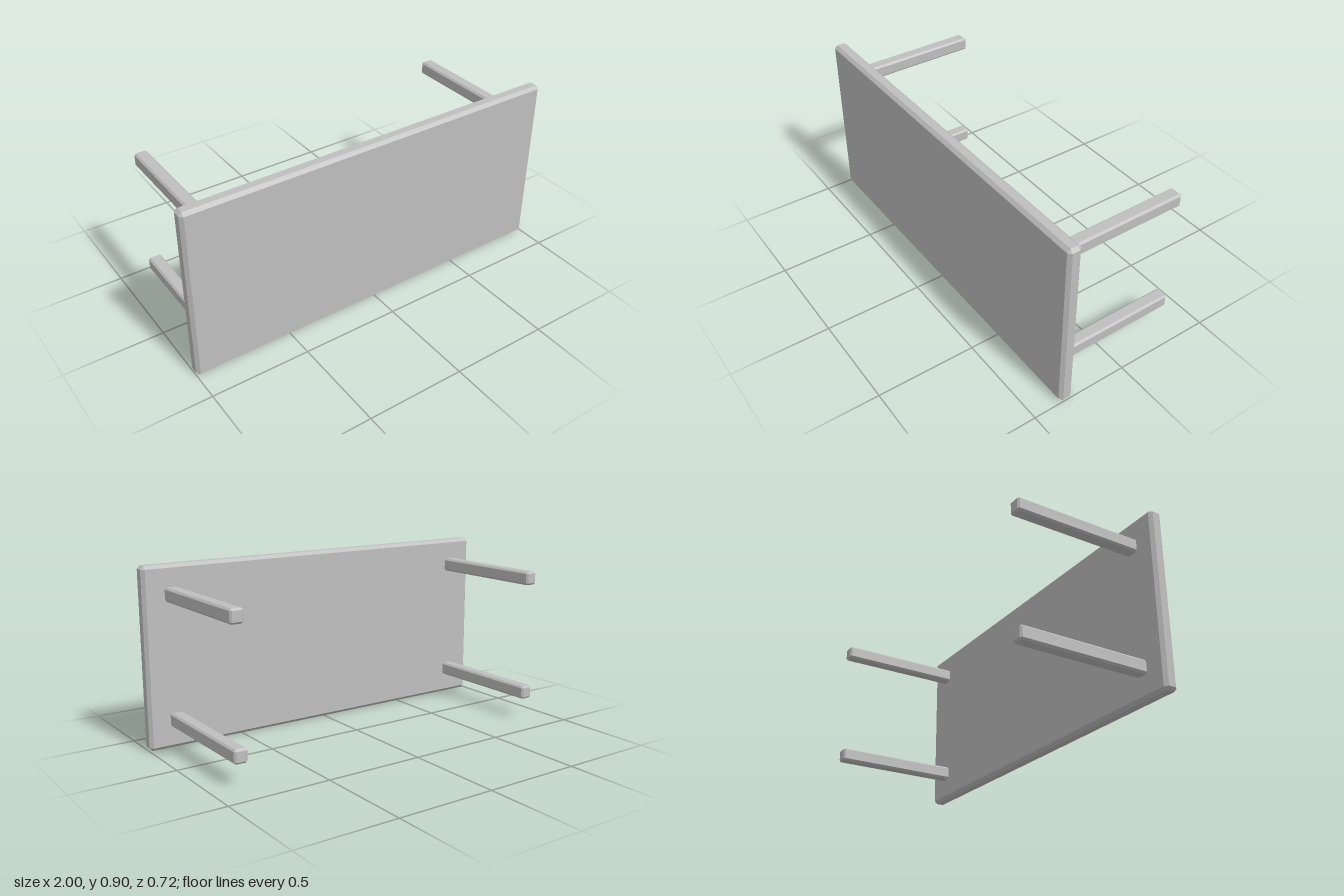
import * as THREE from 'three';
import { ConvexGeometry } from 'three/addons/geometries/ConvexGeometry.js';

// Box with every edge cut by a flat chamfer c
function chamferedBox(w, h, d, c) {
  const points = [];
  for (const sx of [-1, 1]) for (const sy of [-1, 1]) for (const sz of [-1, 1]) {
    const x = w / 2, y = h / 2, z = d / 2;
    points.push(
      new THREE.Vector3(sx * x, sy * (y - c), sz * (z - c)),
      new THREE.Vector3(sx * (x - c), sy * y, sz * (z - c)),
      new THREE.Vector3(sx * (x - c), sy * (y - c), sz * z)
    );
  }
  return new ConvexGeometry(points);
}

export function createModel() {
  const group = new THREE.Group();
  group.name = 'tableOnItsSide';

  const grey = new THREE.MeshStandardMaterial({ color: 0xbfbfbf, flatShading: true });
  grey.name = 'grey';

  // Table top, standing upright at the front
  const top = new THREE.Mesh(chamferedBox(2, 0.896, 0.07, 0.016), grey);
  top.name = 'tableTop';
  top.position.set(0, 0.448, 0.325);
  group.add(top);

  // Four legs pointing backwards, their front ends sunk into the top
  const legGeometry = chamferedBox(0.066, 0.068, 0.668, 0.009);
  for (const [side, sx] of [['left', 1], ['right', -1]]) {
    for (const [level, sy] of [['Upper', 1], ['Lower', -1]]) {
      const leg = new THREE.Mesh(legGeometry, grey);
      leg.name = `${side}${level}Leg`;
      leg.position.set(sx * 0.858, 0.449 + sy * 0.306, -0.026);
      group.add(leg);
    }
  }
  return group;
}
